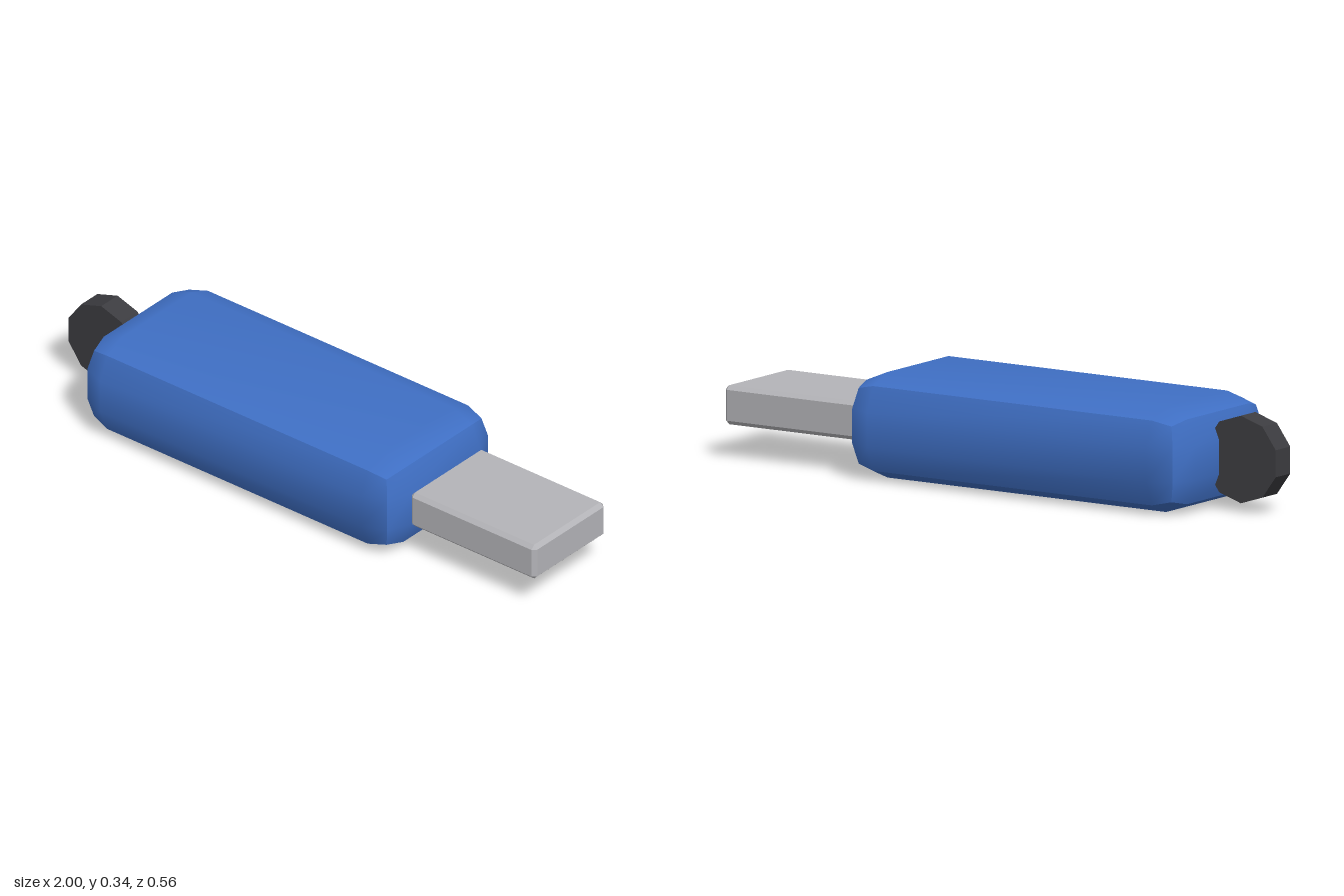
import * as THREE from 'three';
import { ConvexGeometry } from 'three/addons/geometries/ConvexGeometry.js';

// Box with two-step rounded edges; each of the six sides is smoothed on its own.
function roundedBox(w, h, d, r) {
  const geo = new THREE.BoxGeometry(1, 1, 1, 3, 3, 3);
  const pos = geo.attributes.position;
  const p = new THREE.Vector3();
  const n = new THREE.Vector3();
  for (let i = 0; i < pos.count; i++) {
    p.fromBufferAttribute(pos, i);
    const dir = (v) => (Math.abs(v) > 0.4 ? Math.sign(v) : 0);
    n.set(dir(p.x), dir(p.y), dir(p.z)).normalize();
    pos.setXYZ(
      i,
      Math.sign(p.x) * (w / 2 - r) + n.x * r,
      Math.sign(p.y) * (h / 2 - r) + n.y * r,
      Math.sign(p.z) * (d / 2 - r) + n.z * r
    );
  }
  geo.computeVertexNormals();
  return geo;
}

// Box with a single flat chamfer on every edge.
function chamferedBox(w, h, d, c) {
  const points = [];
  for (const x of [-1, 1]) for (const y of [-1, 1]) for (const z of [-1, 1]) {
    for (let axis = 0; axis < 3; axis++) {
      const inset = [c, c, c];
      inset[axis] = 0;
      points.push(new THREE.Vector3(
        x * (w / 2 - inset[0]), y * (h / 2 - inset[1]), z * (d / 2 - inset[2])));
    }
  }
  return new ConvexGeometry(points);
}

export function createModel() {
  const group = new THREE.Group();
  const midY = 0.168;

  const add = (name, geo, color, x, flatShading) => {
    const mesh = new THREE.Mesh(geo, new THREE.MeshStandardMaterial({ color, flatShading }));
    mesh.name = name;
    mesh.position.set(x, midY, 0);
    group.add(mesh);
  };

  // Blue casing
  add('casing', roundedBox(1.28, 0.335, 0.56, 0.112), 0x3f6fc4, -0.145, false);

  // Metal plug
  add('plug', chamferedBox(0.508, 0.124, 0.35, 0.013), 0xb4b4b8, 0.746, true);

  // Ten-sided disc at the tail, partly sunk into the casing
  const disc = new THREE.CylinderGeometry(0.139, 0.139, 0.08, 10);
  disc.rotateX(Math.PI / 2);
  add('tailDisc', disc, 0x3c3c40, -0.868, true);

  return group;
}
